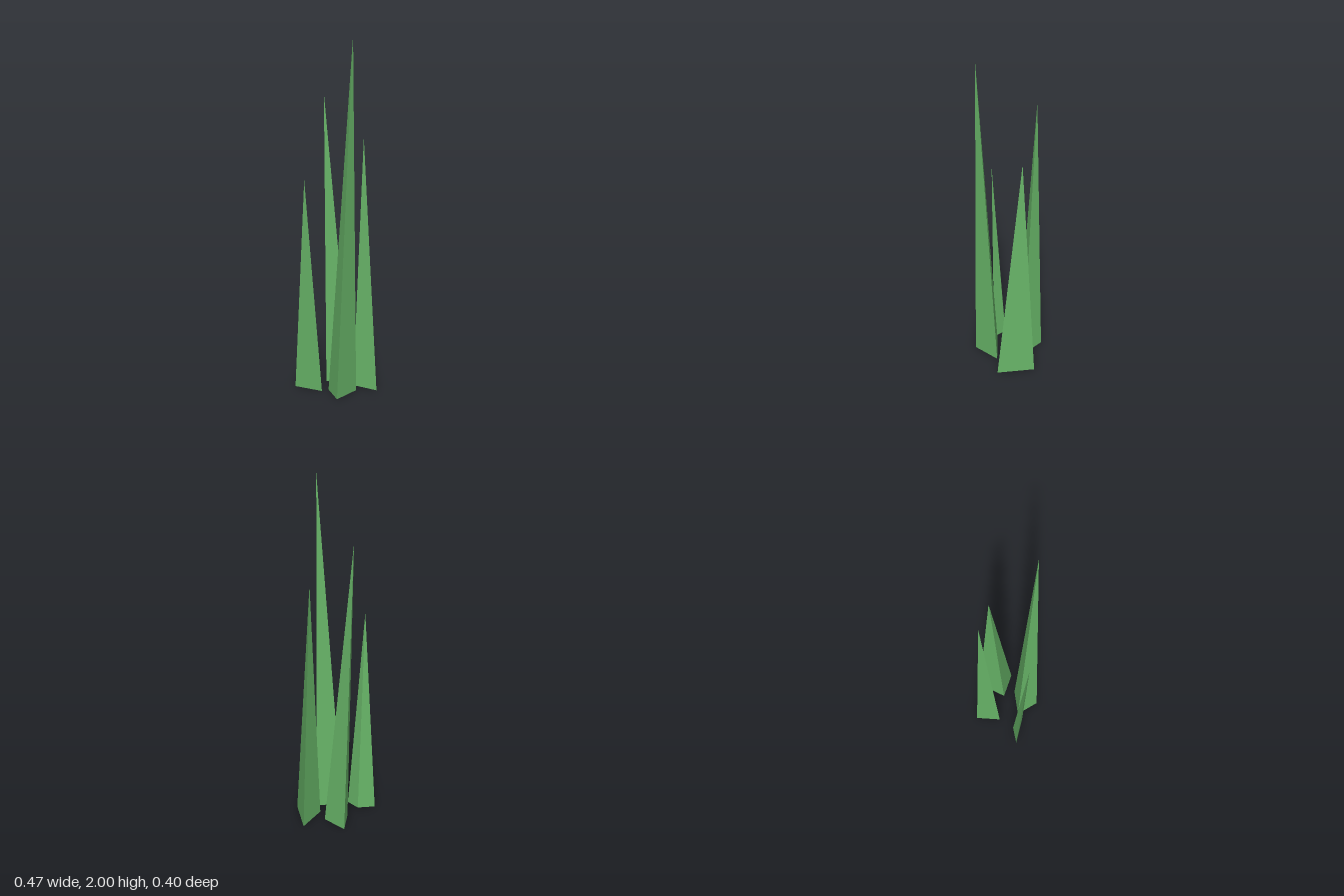
import * as THREE from 'three';

// Each blade: three ground corners [x, z] (counter-clockwise from above) and a tip [x, y, z]
const BLADES = [
  { name: 'tallFrontBlade', base: [[0.12, 0.047], [-0.037, 0.073], [0.042, 0.199]], tip: [0.115, 2, 0.141] },
  { name: 'backBlade', base: [[-0.072, -0.201], [-0.079, -0.048], [0.052, -0.105]], tip: [-0.111, 1.685, -0.137] },
  { name: 'leftBlade', base: [[0.168, -0.193], [0.088, -0.023], [0.235, 0.023]], tip: [0.128, 1.445, -0.1] },
  { name: 'shortRightBlade', base: [[-0.135, 0.043], [-0.237, 0.066], [-0.069, 0.103]], tip: [-0.16, 1.225, 0.122] },
];

// Leaning three-sided spike with a closed base
function bladeGeometry(base, tip) {
  const [a, b, c] = base.map(([x, z]) => [x, 0, z]);
  const faces = [a, b, tip, b, c, tip, c, a, tip, c, b, a];
  const geometry = new THREE.BufferGeometry();
  geometry.setAttribute('position', new THREE.Float32BufferAttribute(faces.flat(), 3));
  geometry.computeVertexNormals();
  return geometry;
}

export function createModel() {
  const grass = new THREE.Group();
  grass.name = 'grassTuft';
  const green = new THREE.MeshStandardMaterial({ color: 0x66b266, flatShading: true });
  for (const { name, base, tip } of BLADES) {
    const blade = new THREE.Mesh(bladeGeometry(base, tip), green);
    blade.name = name;
    grass.add(blade);
  }
  return grass;
}
